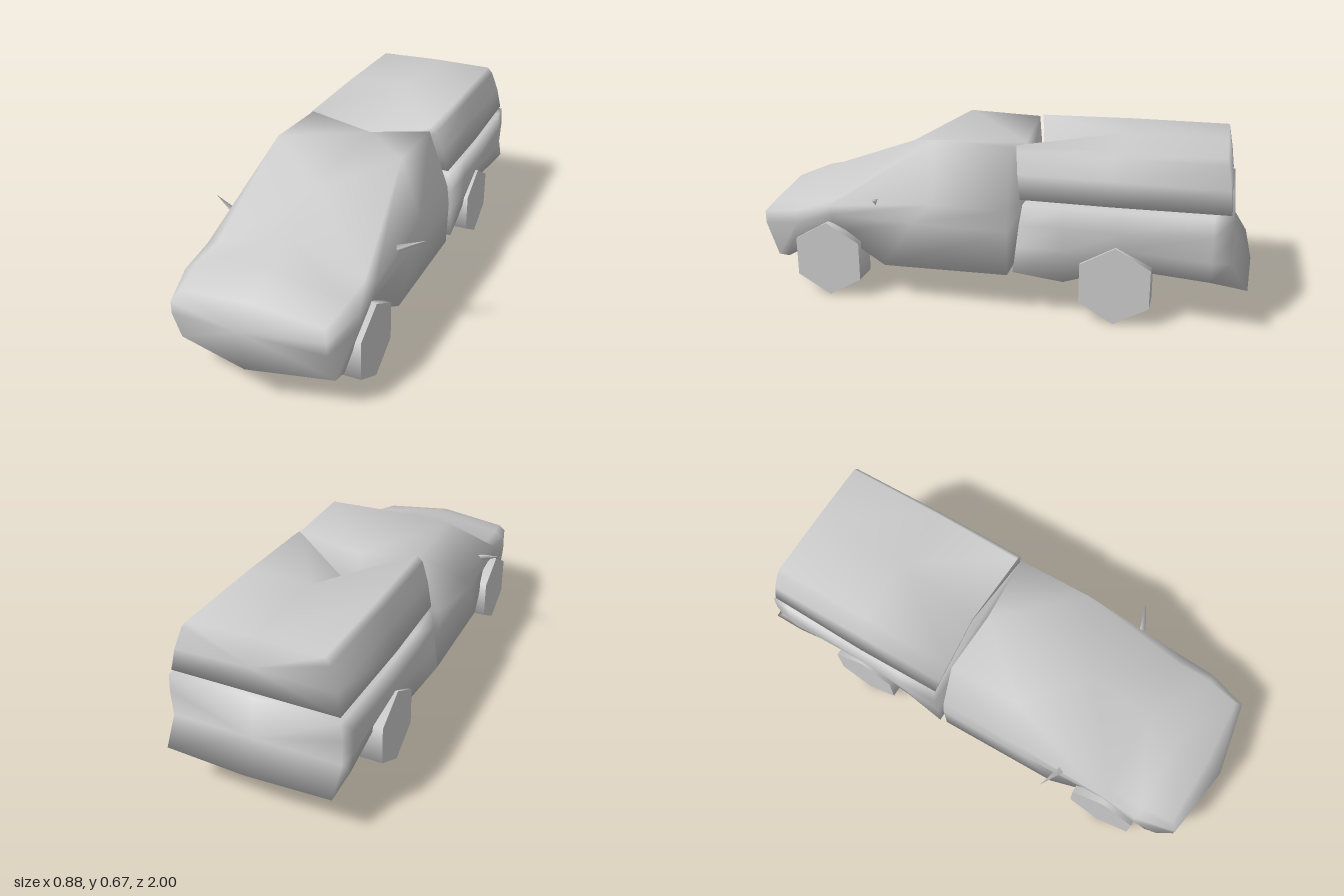
import * as THREE from 'three';

const material = new THREE.MeshStandardMaterial({ color: 0xcccccc, side: THREE.DoubleSide });

function part(name, geometry) {
  const mesh = new THREE.Mesh(geometry, material);
  mesh.name = name;
  return mesh;
}

// Skins mirrored cross-sections from rear to front and closes both ends.
// Each section is { z, half }, with half running bottom centre -> side -> top centre
// as [x, y] or [x, y, z] where a point leaves the section plane.
function shell(sections, rearCentre, frontCentre) {
  const positions = [];
  const index = [];
  const n = sections[0].half.length * 2 - 2;
  for (const { z, half } of sections) {
    const right = half.map(([x, y, pz = z]) => [x, y, pz]);
    const left = right.slice(1, -1).reverse().map(([x, y, pz]) => [-x, y, pz]);
    for (const p of [...right, ...left]) positions.push(...p);
  }
  const rear = sections.length * n;
  const front = rear + 1;
  const last = rear - n;
  positions.push(...rearCentre, ...frontCentre);
  for (let j = 0; j < n; j++) {
    const k = (j + 1) % n;
    for (let s = 0; s < sections.length - 1; s++) {
      const a = s * n + j, b = s * n + k, c = b + n, d = a + n;
      // Mirror the diagonal so both sides fold alike
      if (j < n / 2) index.push(a, b, d, b, c, d);
      else index.push(a, b, c, a, c, d);
    }
    index.push(rear, k, j, front, last + j, last + k);
  }
  const geometry = new THREE.BufferGeometry();
  geometry.setAttribute('position', new THREE.Float32BufferAttribute(positions, 3));
  geometry.setIndex(index);
  geometry.computeVertexNormals();
  return geometry;
}

// Thin pointed piece between two points.
function spike(from, to, radius) {
  const a = new THREE.Vector3(...from), b = new THREE.Vector3(...to);
  const dir = b.clone().sub(a);
  const geometry = new THREE.ConeGeometry(radius, dir.length(), 3);
  geometry.applyQuaternion(new THREE.Quaternion().setFromUnitVectors(
    new THREE.Vector3(0, 1, 0), dir.clone().normalize()));
  const mid = a.add(b).multiplyScalar(0.5);
  return geometry.translate(mid.x, mid.y, mid.z);
}

export function createModel() {
  const model = new THREE.Group();
  model.name = 'pickupTruck';

  // Cab and bonnet: floor, sill, belt, shoulder, roof edge, centreline.
  // The sill lifts over the front wheels to form the arches.
  model.add(part('cab', shell([
    { z: -0.085, half: [[0, 0.16], [0.35, 0.16], [0.355, 0.34], [0.345, 0.42], [0.26, 0.648], [0, 0.6]] },
    { z: 0.22, half: [[0, 0.148, 0.42], [0.34, 0.148, 0.42], [0.35, 0.34, 0.3], [0.342, 0.42], [0.26, 0.658], [0, 0.577, 0.4]] },
    { z: 0.64, half: [[0, 0.142], [0.305, 0.26], [0.335, 0.34], [0.34, 0.38], [0.3, 0.39], [0, 0.491]] },
    { z: 0.79, half: [[0, 0.14], [0.315, 0.138, 0.85], [0.345, 0.3], [0.343, 0.35], [0.3, 0.382], [0, 0.437]] },
    { z: 0.95, half: [[0, 0.145, 0.98], [0.305, 0.137, 0.9], [0.3, 0.27], [0.3, 0.32], [0.28, 0.355, 0.92], [0, 0.385, 0.93]] },
  ], [0, 0.35, -0.085], [0, 0.31, 1])));

  // Load bed, flaring into the rear bumper
  model.add(part('loadBed', shell([
    { z: -0.92, half: [[0, 0.18, -1], [0.325, 0.18, -0.985], [0.33, 0.28], [0.335, 0.38], [0.33, 0.45], [0, 0.45]] },
    { z: -0.85, half: [[0, 0.2], [0.33, 0.2], [0.34, 0.28], [0.345, 0.38], [0.335, 0.45], [0, 0.45]] },
    { z: -0.52, half: [[0, 0.168], [0.3, 0.21], [0.338, 0.3], [0.352, 0.37], [0.34, 0.45], [0, 0.45]] },
    { z: -0.3, half: [[0, 0.145], [0.325, 0.143], [0.345, 0.28], [0.352, 0.37], [0.34, 0.447], [0, 0.447]] },
    { z: -0.12, half: [[0, 0.18, -0.11], [0.36, 0.18, -0.11], [0.35, 0.28], [0.345, 0.37, -0.13], [0.33, 0.445, -0.14], [0, 0.445, -0.14]] },
  ], [0, 0.29, -0.93], [0, 0.32, -0.13])));

  // Canopy over the bed, its roof folding down into a notch at the front
  model.add(part('canopy', shell([
    { z: -0.9, half: [[0, 0.465, -0.91], [0.325, 0.465, -0.91], [0.308, 0.55], [0.28, 0.635, -0.885], [0.26, 0.66, -0.88], [0, 0.665, -0.88]] },
    { z: -0.48, half: [[0, 0.465], [0.335, 0.465], [0.31, 0.555], [0.284, 0.635], [0.262, 0.66], [0, 0.662]] },
    { z: -0.11, half: [[0, 0.465, -0.165], [0.33, 0.465, -0.13], [0.308, 0.555, -0.115], [0.28, 0.635, -0.105], [0.255, 0.656, -0.1], [0, 0.49, -0.16]] },
  ], [0, 0.56, -0.905], [0, 0.478, -0.16])));

  // Six-sided wheels along x, one corner resting on the ground
  const wheelShape = new THREE.CylinderGeometry(0.155, 0.155, 0.113, 6)
    .rotateX(Math.PI / 2)
    .rotateY(Math.PI / 2);

  for (const side of [1, -1]) {
    const label = side > 0 ? 'left' : 'right';
    for (const [end, z] of [['Front', 0.66], ['Rear', -0.5]]) {
      const wheel = part(`${label}${end}Wheel`, wheelShape);
      wheel.position.set(side * 0.295, 0.155, z);
      model.add(wheel);
    }
    model.add(part(`${label}Mirror`, spike([side * 0.34, 0.415, 0.45], [side * 0.44, 0.45, 0.41], 0.015)));
    // Small brackets below the body
    model.add(part(`${label}TowHook`, spike([side * 0.14, 0.19, -0.83], [side * 0.14, 0.15, -0.94], 0.017)));
    model.add(part(`${label}BodyMount`, spike([side * 0.2, 0.21, -0.085], [side * 0.2, 0.175, -0.13], 0.025)));
  }
  return model;
}
